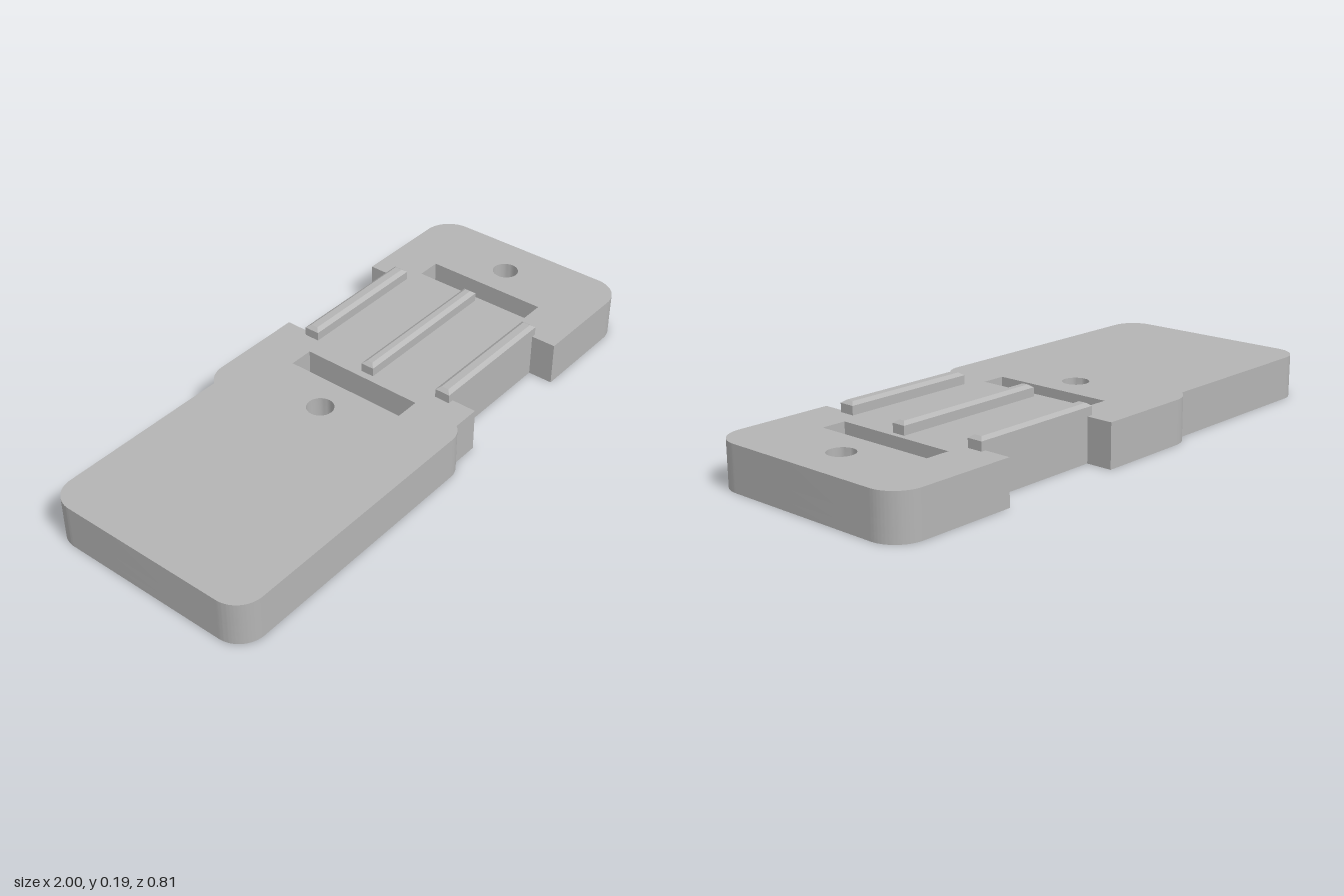
import * as THREE from 'three';
import { toCreasedNormals } from 'three/addons/utils/BufferGeometryUtils.js';

const PI = Math.PI;
const TOP = 0.15;

// All plan shapes are drawn as (x, z).
function plateOutline() {
  const s = new THREE.Shape();
  s.moveTo(-1, 0.31);
  s.absarc(-0.91, 0.31, 0.09, PI, PI / 2, true);
  s.absarc(-0.045, 0.32, 0.08, PI / 2, Math.asin(0.05 / 0.08), true);
  // front notch
  s.lineTo(0.115, 0.37);
  s.lineTo(0.115, 0.283);
  s.lineTo(0.565, 0.283);
  s.lineTo(0.565, 0.37);
  s.absarc(0.9, 0.27, 0.1, PI / 2, 0, true);
  s.absarc(0.9, -0.305, 0.1, 0, -PI / 2, true);
  // back notch
  s.lineTo(0.565, -0.405);
  s.lineTo(0.565, -0.313);
  s.lineTo(0.115, -0.313);
  s.lineTo(0.115, -0.405);
  s.absarc(-0.215, -0.305, 0.1, -PI / 2, -PI + Math.asin(0.6), true);
  s.absarc(-0.91, -0.275, 0.09, -PI / 2, -PI, true);
  s.closePath();
  return s;
}

function polygon(points) {
  return new THREE.Path(points.map(([x, z]) => new THREE.Vector2(x, z)));
}

function rect(x0, x1, z0, z1) {
  return polygon([[x0, z0], [x1, z0], [x1, z1], [x0, z1]]);
}

function circle(x, z, r) {
  const p = new THREE.Path();
  p.absarc(x, z, r, 0, PI * 2, false);
  return p;
}

// One slice of the plate from height y0 to y1 with the given openings
function plateLayer(y0, y1, holes) {
  const shape = plateOutline();
  shape.holes = holes;
  const g = new THREE.ExtrudeGeometry(shape, { depth: y1 - y0, bevelEnabled: false, curveSegments: 14 });
  g.rotateX(PI / 2);
  g.translate(0, y1, 0);
  return toCreasedNormals(g, 0.6);
}

// Bar with chamfered upper edges
function railGeometry(length, width, height, chamfer) {
  const box = new THREE.BoxGeometry(length, height, width, 1, 2, 1);
  const p = box.attributes.position;
  for (let i = 0; i < p.count; i++) {
    const y = p.getY(i);
    if (y > height * 0.25) {
      p.setX(i, p.getX(i) - Math.sign(p.getX(i)) * chamfer);
      p.setZ(i, p.getZ(i) - Math.sign(p.getZ(i)) * chamfer);
    } else if (y > -height * 0.25) {
      p.setY(i, height / 2 - 0.01);
    }
  }
  const g = box.toNonIndexed();
  g.computeVertexNormals();
  return g;
}

export function createModel() {
  const model = new THREE.Group();
  model.name = 'mountingPlate';
  const grey = new THREE.MeshStandardMaterial({ name: 'grey', color: 0xb4b4b4 });

  const add = (name, geometry) => {
    const mesh = new THREE.Mesh(geometry, grey);
    mesh.name = name;
    model.add(mesh);
    return mesh;
  };

  // Openings through the full thickness
  const slots = () => [rect(-0.055, 0.03, -0.24, 0.2), rect(0.64, 0.725, -0.24, 0.2)];
  const screwHoles = () => [circle(-0.175, -0.02, 0.045), circle(0.845, -0.02, 0.045)];

  // Underside recesses: nut pocket, counterbore and blind holes
  const recesses = () => {
    const list = [rect(-0.26, -0.1, -0.3, 0.34), circle(0.845, -0.02, 0.07)];
    for (const z of [-0.305, 0.275]) {
      for (const x of [0.04, 0.65]) list.push(circle(x, z, 0.03));
    }
    for (const z of [-0.23, 0.27]) list.push(circle(-0.9, z, 0.02));
    return list;
  };

  // Direction arrow cut into the underside
  const arrow = polygon([
    [0.825, 0.08], [0.865, 0.08], [0.865, 0.2], [0.91, 0.2],
    [0.845, 0.3], [0.78, 0.2], [0.825, 0.2],
  ]);

  add('plateBottom', plateLayer(0, 0.03, [...slots(), ...recesses(), arrow]));
  add('plateMiddle', plateLayer(0.03, 0.07, [...slots(), ...recesses()]));
  add('plateTop', plateLayer(0.07, TOP, [...slots(), ...screwHoles()]));

  // Three raised rails
  const rails = [
    ['frontRail', 0.338, 0.256, 0.486, 0.054],
    ['centreRail', 0.338, -0.016, 0.566, 0.048],
    ['backRail', 0.338, -0.286, 0.486, 0.054],
  ];
  for (const [name, x, z, length, width] of rails) {
    add(name, railGeometry(length, width, 0.04, 0.014)).position.set(x, TOP + 0.02, z);
  }

  return model;
}
